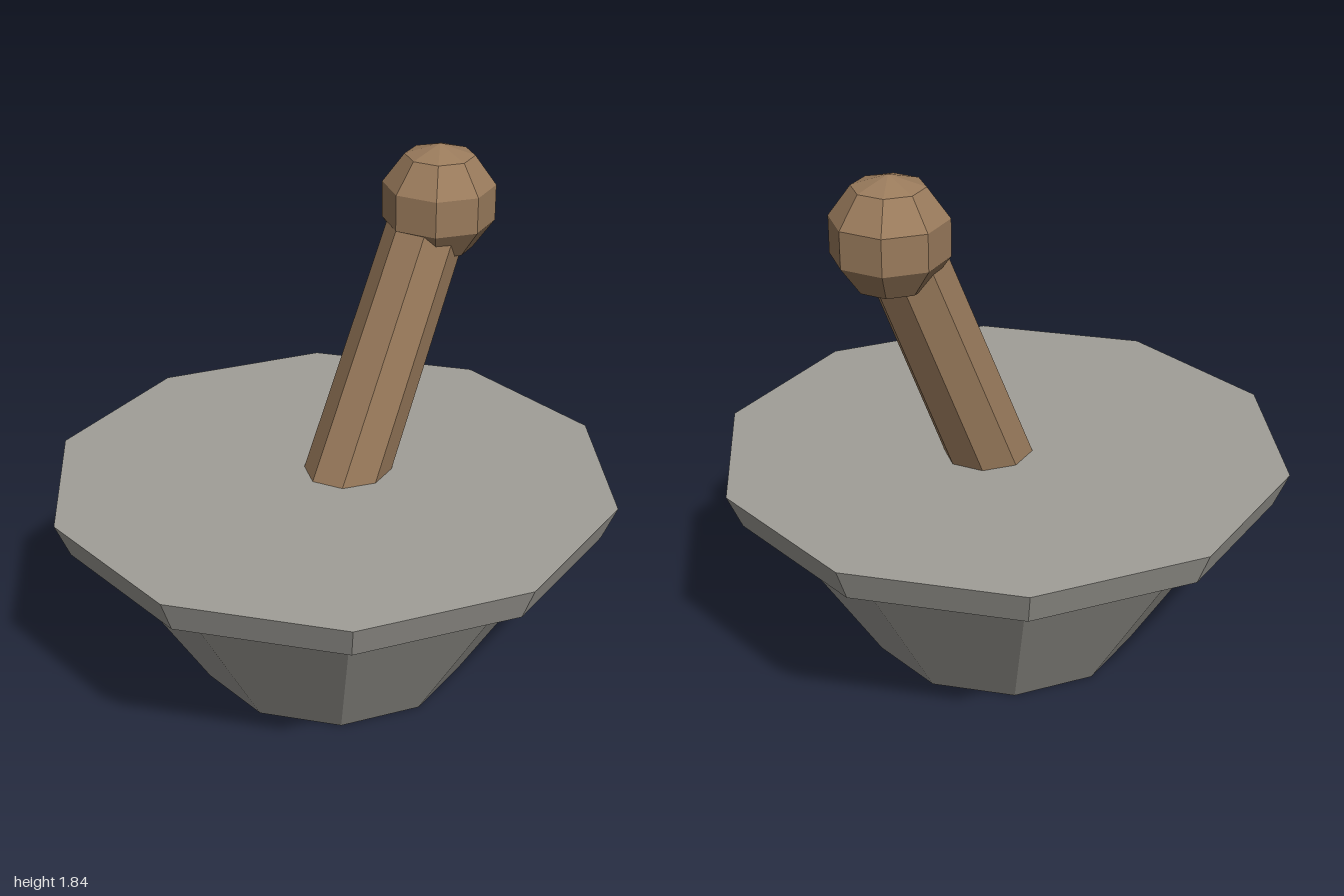
import * as THREE from 'three';

export function createModel() {
  const model = new THREE.Group();
  model.name = 'mortarAndPestle';

  const stone = new THREE.MeshStandardMaterial({ color: 0xa09e98, flatShading: true });
  stone.name = 'stone grey';
  const wood = new THREE.MeshStandardMaterial({ color: 0x9a7b5c, flatShading: true });
  wood.name = 'wood brown';

  const add = (name, geometry, material, x, y, tilt = 0) => {
    const mesh = new THREE.Mesh(geometry, material);
    mesh.name = name;
    mesh.position.set(x, y, 0);
    mesh.rotation.z = tilt;
    model.add(mesh);
  };

  // Ten-sided bowl and its wider, flared rim
  add('bowl', new THREE.CylinderGeometry(0.865, 0.474, 0.62, 10), stone, 0, 0.31);
  add('rim', new THREE.CylinderGeometry(1, 0.949, 0.12, 10), stone, 0, 0.675);

  // Leaning, slightly tapered shaft with an upright faceted knob
  add('pestleShaft', new THREE.CylinderGeometry(0.135, 0.149, 1.086, 8), wood, 0.234, 1.12, -0.4);
  add('pestleKnob', new THREE.SphereGeometry(0.205, 8, 5), wood, 0.472, 1.639);

  return model;
}
